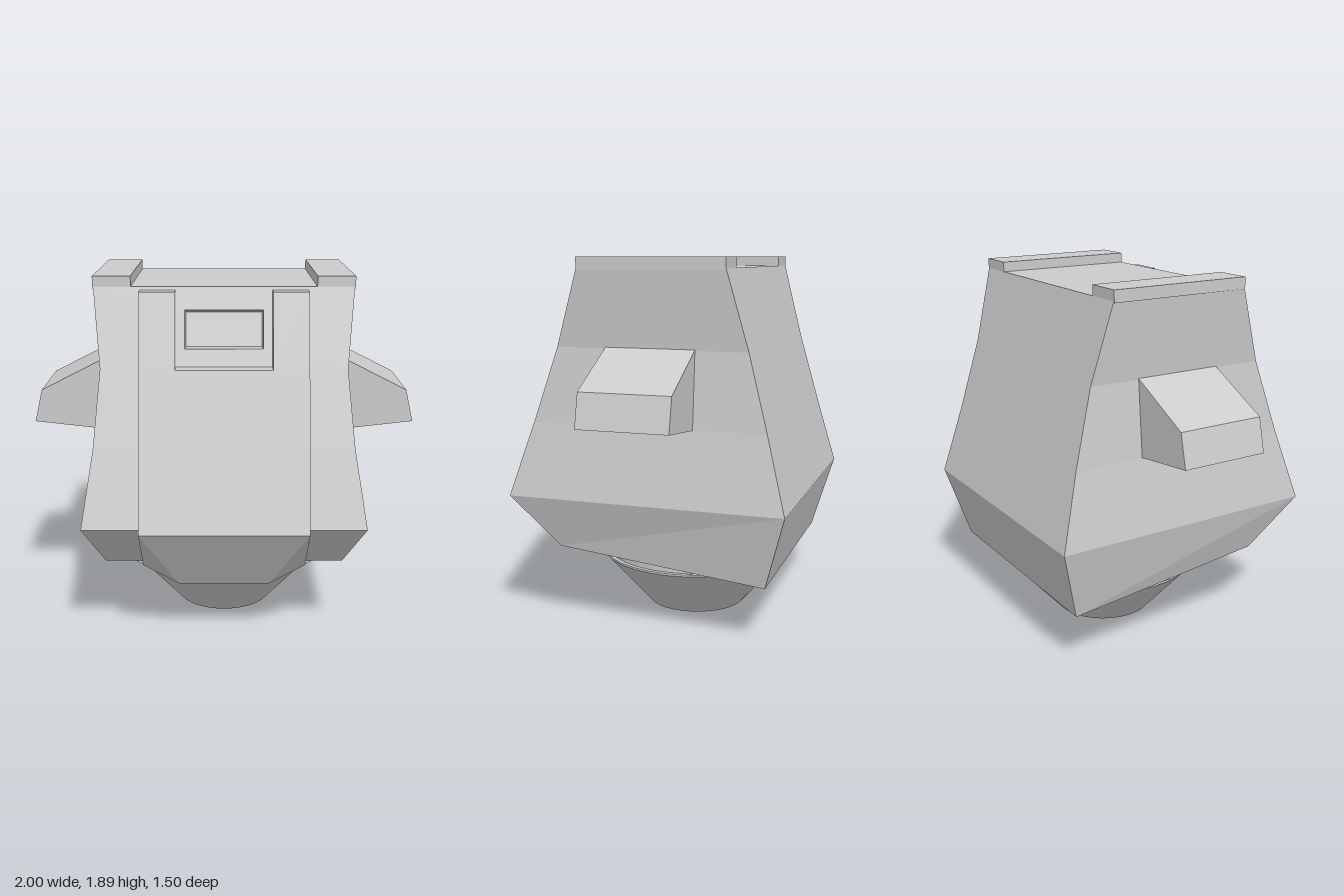
import * as THREE from 'three';

const material = new THREE.MeshStandardMaterial({ color: 0xcccccc, flatShading: true });

// Skin a list of rings (each counter-clockwise seen from the last ring) and close both ends.
function loft(name, rings, skip = () => false) {
  const pos = [];
  const quad = (a, b, c, d) => pos.push(...a, ...b, ...c, ...a, ...c, ...d);
  const n = rings[0].length;
  for (let r = 0; r < rings.length - 1; r++) {
    for (let i = 0; i < n; i++) {
      const j = (i + 1) % n;
      if (!skip(r, i)) quad(rings[r][i], rings[r][j], rings[r + 1][j], rings[r + 1][i]);
    }
  }
  const cap = (p, flip) => {
    for (let i = 0; i < n / 2 - 1; i++) {
      const q = [p[i], p[i + 1], p[n - 2 - i], p[n - 1 - i]];
      quad(...(flip ? q.reverse() : q));
    }
  };
  if (!skip('start')) cap(rings[0], true);
  cap(rings[rings.length - 1], false);
  const g = new THREE.BufferGeometry();
  g.setAttribute('position', new THREE.Float32BufferAttribute(pos, 3));
  g.computeVertexNormals();
  return add(name, g);
}

function add(name, geometry) {
  const mesh = new THREE.Mesh(geometry, material);
  mesh.name = name;
  return mesh;
}

// Four-cornered horizontal ring
const ring = (x0, x1, zf, zb, yf, yb = yf) =>
  [[x1, yf, zf], [x1, yb, zb], [x0, yb, zb], [x0, yf, zf]];

// Slope of the body's front and back walls
const frontZ = (y) => 0.68 - 0.365 * (y - 0.69) / 1.15;
const backZ = (y) => -0.75 + 0.31 * (y - 0.69) / 1.15;

function body() {
  const level = (x, y) => ring(-x, x, frontZ(y), backZ(y), y);
  const rings = [
    ring(-0.56, 0.56, 0.41, -0.59, 0.5),
    ring(-0.56, 0.56, 0.41, -0.59, 0.417, 0.31),
    ring(-0.62, 0.62, 0.44, -0.64, 0.42, 0.305),
    level(0.71, 0.69), level(0.65, 1.07), level(0.615, 1.45), level(0.65, 1.84),
  ];
  // The upper front face is left out for the window frame
  return loft('body', rings, (r, i) => r === 5 && i === 3);
}

function windowFrame() {
  const face = (x0, y0, x1, y1, depth, yb = y1) => [
    [-x0, y0, frontZ(y0) - depth], [x0, y0, frontZ(y0) - depth],
    [x1, yb, frontZ(yb) - depth], [-x1, yb, frontZ(yb) - depth]];
  return loft('windowRecess', [
    face(0.615, 1.45, 0.65, 1.84, 0),
    face(0.195, 1.545, 0.195, 1.73, 0),
    face(0.19, 1.545, 0.19, 1.71, 0.06),
  ], (r) => r === 'start');
}

function frontPanel() {
  const group = new THREE.Group();
  group.name = 'frontPanel';
  const zf = (y) => (y < 1.46 ? 0.75 - 0.24 * (y - 0.69) / 0.77 : 0.51 - 0.11 * (y - 1.46) / 0.36);
  const at = (x0, x1, y) => ring(x0, x1, zf(y), frontZ(y) - 0.01, y);
  // Chin with chamfered lower corners
  const xs = [0.42, 0.235, -0.235, -0.42], ys = [0.43, 0.325, 0.325, 0.43];
  const back = xs.map((x, i) => [x, ys[i], 0.44]);
  const front = xs.map((x, i) => [x, ys[i], 0.515]).reverse();
  const topBack = xs.map((x) => [Math.sign(x) * 0.42, 0.69, 0.66]);
  const topFront = xs.map((x) => [Math.sign(x) * 0.42, 0.69, 0.75]).reverse();
  group.add(loft('panelChin', [[...back, ...front], [...topBack, ...topFront]]));
  // Main plate and the two posts beside the window
  group.add(loft('panelPlate', [at(-0.42, 0.42, 0.69), at(-0.42, 0.42, 1.46)]));
  group.add(loft('leftPost', [at(0.24, 0.42, 1.46), at(0.24, 0.42, 1.825)]));
  group.add(loft('rightPost', [at(-0.42, -0.24, 1.46), at(-0.42, -0.24, 1.825)]));
  return group;
}

function sidePod(name) {
  const zc = -0.05;
  const pod = (xi, yi, xo, yo, half) =>
    [[xo, yo, half], [xo, yo, -half], [xi, yi, -half], [xi, yi, half]];
  const mesh = loft(name, [
    pod(0.72, 1.2, 0.9, 1.2, 0.15),
    pod(0.68, 1.074, 0.965, 1.106, 0.2),
    pod(0.63, 1.068, 1.0, 1.11, 0.23),
    pod(0.6, 1.463, 0.96, 1.28, 0.23),
  ]);
  mesh.position.z = zc;
  return mesh;
}

export function createModel() {
  const model = new THREE.Group();
  model.name = 'model';
  model.add(body(), windowFrame(), frontPanel());

  // Rails along the top edges
  for (const [s, name] of [[1, 'leftTopRail'], [-1, 'rightTopRail']]) {
    const rail = add(name, new THREE.BoxGeometry(0.19, 0.06, 0.755));
    rail.position.set(s * 0.559, 1.862, -0.0625);
    model.add(rail);
  }

  // Side pods, open underneath
  const left = sidePod('leftPod');
  const right = sidePod('rightPod');
  right.rotation.y = Math.PI;
  model.add(left, right);

  // Tapered flap below the front wall
  const shape = new THREE.Shape([[-0.47, 0.425], [-0.245, 0.298], [0.245, 0.298], [0.47, 0.425]]
    .map(([x, y]) => new THREE.Vector2(x, y)));
  const flap = add('frontFlap', new THREE.ExtrudeGeometry(shape, { depth: 0.04, bevelEnabled: false }));
  flap.position.z = 0.4;
  model.add(flap);

  // Round neck: cone, lip and collar
  const profile = [[0, 0], [0.265, 0], [0.512, 0.28], [0.512, 0.29], [0.49, 0.29],
    [0.49, 0.345], [0.515, 0.345], [0.515, 0.5]].map(([x, y]) => new THREE.Vector2(x, y));
  const neck = add('neck', new THREE.LatheGeometry(profile, 32));
  neck.position.z = -0.103;
  model.add(neck);

  return model;
}
